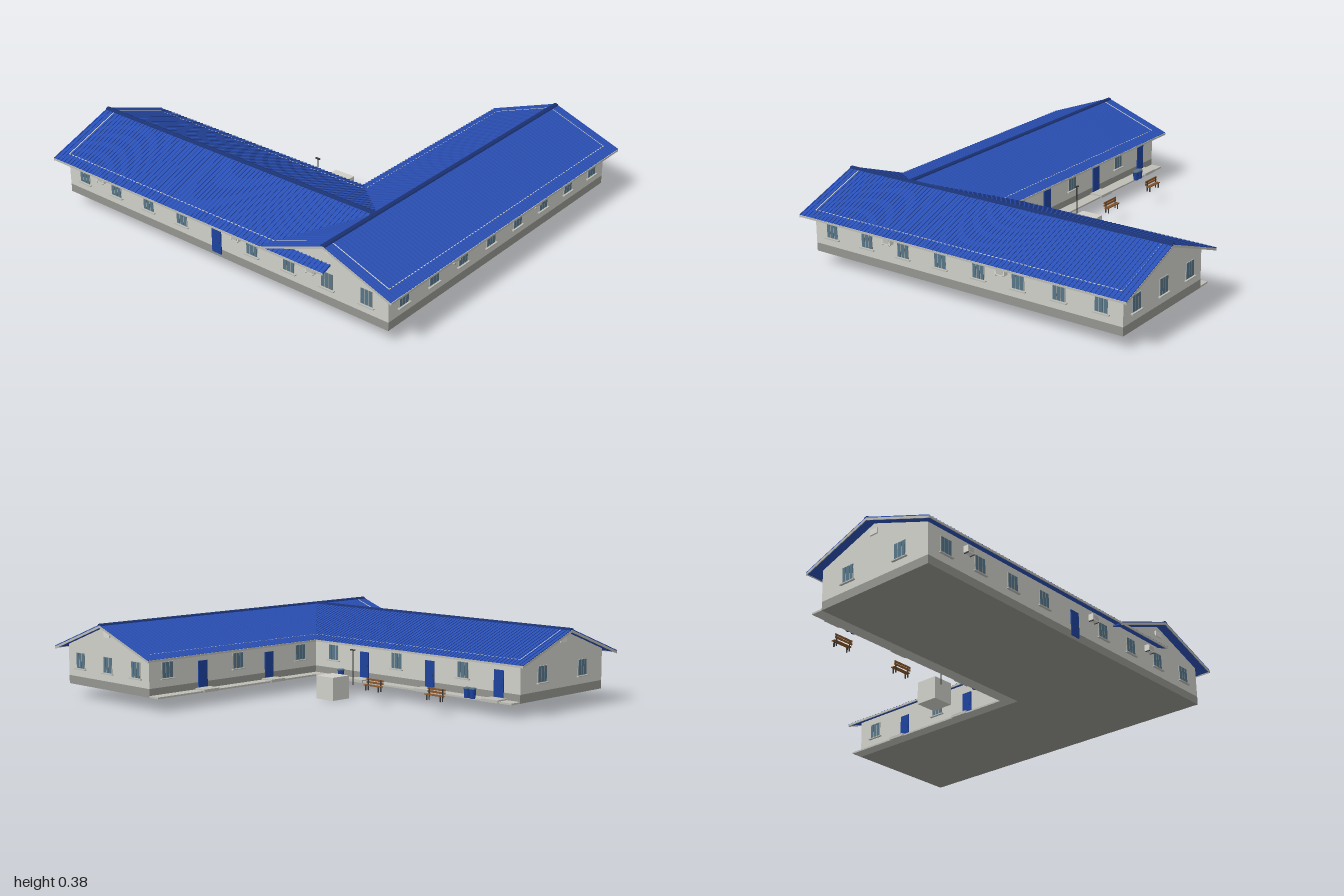
import * as THREE from 'three';
import { mergeGeometries } from 'three/addons/utils/BufferGeometryUtils.js';

const mat = (name, color) => Object.assign(new THREE.MeshStandardMaterial({ color }), { name });
const M = {
  wall: mat('pale wall', 0xcfcfc8),
  plinth: mat('grey plinth', 0x94948f),
  roof: mat('blue roof', 0x2a50b6),
  ridge: mat('dark blue ridge', 0x1b3272),
  trim: mat('light grey trim', 0xbdbdb6),
  glass: mat('window glass', 0x587587),
  door: mat('blue door', 0x1d429c),
  unit: mat('off-white unit', 0xdcdcd6),
  wood: mat('brown wood', 0x8a562a),
  metal: mat('dark metal', 0x3c3c3c),
};

const BASE = 0.06, FLOOR = 0.1, RIDGE = 0.368, HALF = 0.355, RISE = 0.13, WALL = 0.305;
const SLOPE = RISE / HALF, ANGLE = Math.atan(SLOPE), EAVE = RIDGE - RISE;
const WALL_TOP = RIDGE - WALL * SLOPE + 0.0015;
const AZ = 0.525, BX = 0.6425; // ridge lines of the two wings
const FACE = { front: 0, left: Math.PI / 2, back: Math.PI, right: -Math.PI / 2 };

function add(parent, name, geo, material, x = 0, y = 0, z = 0) {
  const m = new THREE.Mesh(geo, material);
  m.name = name;
  m.position.set(x, y, z);
  parent.add(m);
  return m;
}
const box = (parent, name, material, w, h, d, x, y, z) =>
  add(parent, name, new THREE.BoxGeometry(w, h, d), material, x, y, z);

function group(parent, name, x = 0, y = 0, z = 0, turn = 0) {
  const g = new THREE.Group();
  g.name = name;
  g.position.set(x, y, z);
  g.rotation.y = turn;
  parent.add(g);
  return g;
}

function extrude(points, depth) {
  const s = new THREE.Shape(points.map(p => new THREE.Vector2(...p)));
  return new THREE.ExtrudeGeometry(s, { depth, bevelEnabled: false });
}

// Window facing local +z: three panes in a frame over a sill
function windowAt(parent, x, z, turn) {
  const g = group(parent, 'window', x, 0.178, z, turn);
  box(g, 'windowFrame', M.trim, 0.064, 0.076, 0.003, 0, 0, 0.001);
  for (const i of [-1, 0, 1]) box(g, 'pane', M.glass, 0.0175, 0.072, 0.003, i * 0.021, 0, 0.0025);
  box(g, 'sill', M.trim, 0.082, 0.005, 0.012, 0, -0.041, 0.005);
}

function doorAt(parent, x, z, turn) {
  const g = group(parent, 'door', x, 0.138, z, turn);
  box(g, 'doorLeaf', M.door, 0.054, 0.124, 0.006, 0, 0, 0.002);
  box(g, 'handle', M.metal, 0.003, 0.01, 0.004, 0.02, -0.005, 0.006);
}

function coolerAt(parent, x, y, z, turn) {
  const g = group(parent, 'coolingUnit', x, y, z, turn);
  box(g, 'coolerCase', M.unit, 0.048, 0.03, 0.024, 0, 0, 0.014);
  box(g, 'coolerGrille', M.trim, 0.034, 0.02, 0.002, 0, 0, 0.0265);
  for (const s of [-1, 1]) box(g, 'bracket', M.metal, 0.003, 0.003, 0.026, s * 0.018, -0.0165, 0.013);
}

// Gable wall with its outer face on local z = 0
function gableAt(parent, x, z, turn) {
  const g = group(parent, 'gableWall', x, 0, z, turn);
  const geo = extrude([[-WALL, FLOOR], [WALL, FLOOR], [WALL, WALL_TOP],
    [0, WALL_TOP + WALL * SLOPE], [-WALL, WALL_TOP]], 0.005);
  add(g, 'gable', geo, M.wall, 0, 0, -0.005);
  box(g, 'gableVent', M.unit, 0.044, 0.026, 0.008, 0, 0.32, 0.003);
}

// Pitched ribbed roof with its ridge along local z, from 0 to len
function roof(parent, name, len, x, z, turn, ends) {
  const g = group(parent, name, x, 0, z, turn);
  const chevron = (drop, t) => [[-HALF, EAVE - drop - t], [0, RIDGE - drop - t], [HALF, EAVE - drop - t],
    [HALF, EAVE - drop], [0, RIDGE - drop], [-HALF, EAVE - drop]];
  add(g, 'roofSheet', extrude(chevron(0, 0.006), len), M.roof);
  const ribs = [], n = Math.round(len / 0.0215);
  for (let i = 0; i <= n; i++) for (const s of [-1, 1]) {
    const rib = new THREE.BoxGeometry(Math.hypot(HALF, RISE), 0.004, 0.005);
    rib.rotateZ(-s * ANGLE);
    rib.translate(s * HALF / 2, (RIDGE + EAVE) / 2 + 0.0015, 0.0025 + (i / n) * (len - 0.005));
    ribs.push(rib);
  }
  add(g, 'roofRibs', mergeGeometries(ribs), M.roof);
  // Ridge cap, verge boards and eave boards
  add(g, 'ridgeCap', extrude([[-0.014, 0.366], [0.014, 0.366], [0.01, 0.372], [0, 0.376], [-0.01, 0.372]], len), M.ridge);
  for (const e of ends) add(g, 'vergeBoard', extrude(chevron(0.001, 0.011), 0.004), M.trim, 0, 0, e ? len - 0.003 : -0.001);
  return g;
}

function eaveBoard(parent, x1, z1, x2, z2) {
  box(parent, 'eaveBoard', M.trim, Math.max(x2 - x1, 0.004), 0.009, Math.max(z2 - z1, 0.004),
    (x1 + x2) / 2, EAVE - 0.004, (z1 + z2) / 2);
}

function bench(parent, x, z) {
  const g = group(parent, 'bench', x, BASE, z);
  for (const i of [0, 1]) {
    box(g, 'seatSlat', M.wood, 0.104, 0.004, 0.009, 0, 0.026, -0.007 + i * 0.011);
    box(g, 'backSlat', M.wood, 0.104, 0.009, 0.004, 0, 0.038 + i * 0.013, 0.011);
  }
  for (const s of [-1, 1]) {
    box(g, 'frontLeg', M.metal, 0.005, 0.025, 0.005, s * 0.04, 0.0125, -0.008);
    box(g, 'backLeg', M.metal, 0.005, 0.055, 0.004, s * 0.04, 0.0275, 0.0075);
  }
}

function bin(parent, x, z) {
  const g = group(parent, 'bin', x, BASE + 0.006, z);
  add(g, 'binBody', new THREE.CylinderGeometry(0.016, 0.013, 0.042, 16), M.door, 0, 0.021, 0);
  add(g, 'binLid', new THREE.CylinderGeometry(0.017, 0.017, 0.005, 16), M.glass, 0, 0.0445, 0);
}

export function createModel() {
  const model = new THREE.Group();
  model.name = 'building';
  const X0 = -0.95, X1 = BX - WALL, X2 = BX + WALL, Z0 = -0.835, Z1 = AZ - WALL, Z2 = AZ + WALL;

  // L-shaped plinth
  const plinth = extrude([[X0, -Z2], [X2, -Z2], [X2, -Z0], [X1, -Z0], [X1, -Z1], [X0, -Z1]], FLOOR - BASE);
  plinth.rotateX(-Math.PI / 2);
  add(model, 'plinth', plinth, M.plinth, 0, BASE, 0);

  // Long walls
  const h = WALL_TOP - FLOOR, wy = FLOOR + h / 2, t = 0.005;
  box(model, 'frontWall', M.wall, X1 - X0, h, t, (X0 + X1) / 2, wy, Z2 - t / 2);
  box(model, 'courtWall', M.wall, X1 - X0, h, t, (X0 + X1) / 2, wy, Z1 + t / 2);
  box(model, 'leftWall', M.wall, t, h, Z2 - Z0, X2 - t / 2, wy, (Z0 + Z2) / 2);
  box(model, 'courtSideWall', M.wall, t, h, Z1 - Z0, X1 + t / 2, wy, (Z0 + Z1) / 2);
  gableAt(model, BX, Z2, FACE.front);
  gableAt(model, BX, Z0, FACE.back);
  gableAt(model, X0, AZ, FACE.right);

  // Roofs
  roof(model, 'longRoof', BX + 1, -1, AZ, FACE.left, [0]);
  roof(model, 'crossRoof', 1.76, BX, -0.88, 0, [0, 1]);
  eaveBoard(model, -1, AZ + HALF, BX, AZ + HALF);
  eaveBoard(model, -1, AZ - HALF, BX - HALF, AZ - HALF);
  eaveBoard(model, BX + HALF, -0.88, BX + HALF, 0.88);
  eaveBoard(model, BX - HALF, -0.88, BX - HALF, AZ - HALF);

  // Windows, doors and cooling units
  for (let i = -4; i <= 4; i++) if (i) windowAt(model, i * 0.21 - 0.005, Z2, FACE.front);
  for (let i = 0; i < 8; i++) windowAt(model, X2, 0.73 - i * 0.2086, FACE.left);
  for (const x of [0.21, -0.21, -0.62]) windowAt(model, x, Z1, FACE.back);
  for (const z of [0.11, -0.3, -0.73]) windowAt(model, X1, z, FACE.right);
  for (const s of [-1, 0, 1]) windowAt(model, BX + s * 0.21, Z0, FACE.back);
  for (const s of [-1, 1]) windowAt(model, X0, AZ + s * 0.15, FACE.right);
  doorAt(model, -0.003, Z2, FACE.front);
  for (const x of [-0.715, 0.125, 0.55]) coolerAt(model, x, 0.208, Z2, FACE.front);
  for (const z of [0.39, -0.235]) coolerAt(model, X2, 0.208, z, FACE.left);

  // Courtyard walkway with a step at each door
  box(model, 'walkway', M.trim, X1 - X0 - 0.06, 0.008, 0.06, (X0 + X1 - 0.06) / 2, BASE + 0.004, Z1 - 0.03);
  box(model, 'sideWalkway', M.trim, 0.06, 0.008, Z1 - Z0, X1 - 0.03, BASE + 0.004, (Z0 + Z1) / 2);
  for (const x of [0, -0.42, -0.83]) {
    doorAt(model, x, Z1, FACE.back);
    box(model, 'doorStep', M.trim, 0.09, 0.014, 0.066, x, BASE + 0.007, Z1 - 0.033);
  }
  for (const z of [-0.1, -0.52]) {
    doorAt(model, X1, z, FACE.right);
    box(model, 'doorStep', M.trim, 0.066, 0.014, 0.09, X1 - 0.033, BASE + 0.007, z);
  }

  // Courtyard objects
  box(model, 'courtyardBlock', M.wall, 0.11, 0.11, 0.11, -0.005, 0.055, -0.005);
  bench(model, -0.63, 0.013);
  bench(model, -0.253, 0.013);
  for (const x of [-0.73, -0.698, 0.1]) bin(model, x, 0.157);
  const lamp = group(model, 'lampPost', -0.053, BASE, 0.082);
  add(lamp, 'pole', new THREE.CylinderGeometry(0.0025, 0.0025, 0.168, 8), M.metal, 0, 0.084, 0);
  box(lamp, 'lampHead', M.metal, 0.026, 0.005, 0.009, 0, 0.168, 0);
  return model;
}
